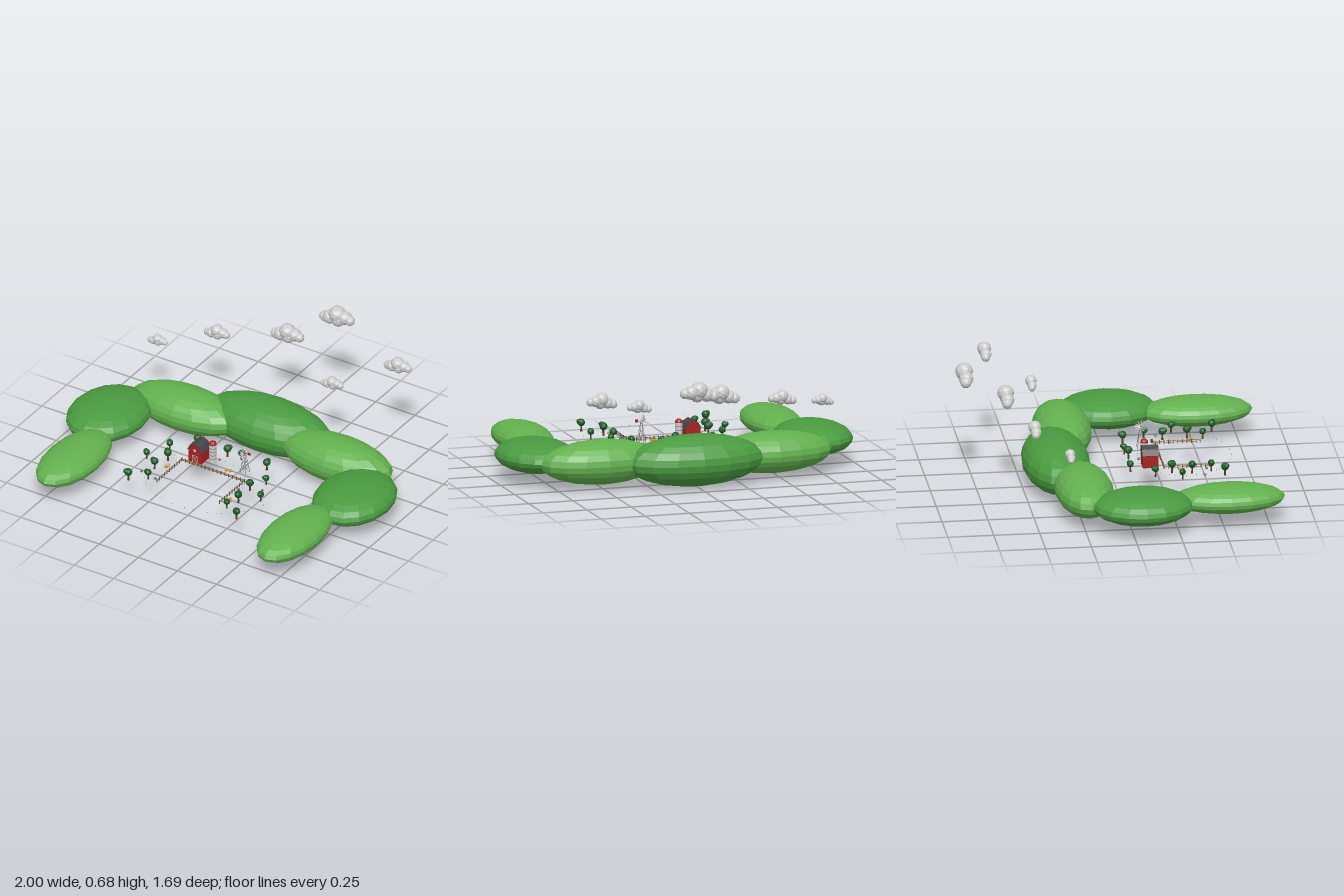
import * as THREE from 'three';

const mat = (color, extra = {}) => new THREE.MeshStandardMaterial({ color, flatShading: true, ...extra });
const M = {
  hillDark: mat(0x4a9a40), hillLight: mat(0x62b04e), cloud: mat(0xcccccc), red: mat(0xa82020), roof: mat(0x45454a),
  white: mat(0xeeeeee), leaf: mat(0x1f5a28), trunk: mat(0x5c3a20), wood: mat(0x7a5a40), hay: mat(0xd0a040),
  metal: mat(0x77777a), grass: mat(0x3f8a35), stone: mat(0x707070),
};
const G = 0.14; // farmyard level

function add(parent, name, geo, material, x = 0, y = 0, z = 0) {
  const m = new THREE.Mesh(geo, material);
  m.name = name;
  m.position.set(x, y, z);
  parent.add(m);
  return m;
}
const box = (w, h, d) => new THREE.BoxGeometry(w, h, d);

// thin round bar between two points
function bar(parent, name, a, b, r, material) {
  const p = new THREE.Vector3(...a), q = new THREE.Vector3(...b);
  const m = add(parent, name, new THREE.CylinderGeometry(r, r, p.distanceTo(q), 5), material);
  m.position.copy(p).lerp(q, 0.5);
  m.quaternion.setFromUnitVectors(new THREE.Vector3(0, 1, 0), q.sub(p).normalize());
  return m;
}

function part(root, name, x = 0, y = 0, z = 0) {
  const g = new THREE.Group();
  g.name = name;
  g.position.set(x, y, z);
  root.add(g);
  return g;
}

function shape(points) {
  return new THREE.Shape(points.map(([x, y]) => new THREE.Vector2(x, y)));
}

// ring of flattened hills: x, y, z, rx, ry, rz, material
function buildHills(root) {
  const hills = part(root, 'hills');
  [[0, 0.141, -0.318, 0.39, 0.141, 0.184, M.hillDark],
    [-0.467, 0.137, -0.222, 0.338, 0.114, 0.158, M.hillLight],
    [0.5, 0.144, -0.222, 0.34, 0.122, 0.158, M.hillLight],
    [-0.785, 0.144, 0.058, 0.215, 0.09, 0.272, M.hillDark],
    [0.785, 0.144, 0.058, 0.215, 0.09, 0.272, M.hillDark],
    [-0.705, 0.143, 0.535, 0.152, 0.077, 0.305, M.hillLight],
    [0.705, 0.143, 0.535, 0.152, 0.077, 0.305, M.hillLight],
  ].forEach(([x, y, z, rx, ry, rz, m]) =>
    add(hills, 'hill', new THREE.SphereGeometry(1, 16, 12), m, x, y, z).scale.set(rx, ry, rz));
}

// faceted clouds: x, y, z, half width
function buildClouds(root) {
  [[-0.72, 0.427, -0.33, 0.063], [-0.44, 0.488, -0.488, 0.081], [-0.06, 0.55, -0.598, 0.104],
    [0.13, 0.615, -0.8, 0.11], [0.345, 0.473, -0.41, 0.071], [0.627, 0.565, -0.628, 0.087],
  ].forEach(([x, y, z, s]) => {
    const cloud = part(root, 'cloud', x, y, z);
    cloud.scale.setScalar(s);
    [[0, 0.14, 0, 0.44], [-0.4, -0.12, 0.05, 0.36], [0.42, 0.04, -0.04, 0.36], [-0.72, -0.2, 0, 0.28],
      [0.74, 0, 0, 0.26], [0.1, -0.12, 0.05, 0.36]].forEach(([px, py, pz, r]) =>
      add(cloud, 'puff', new THREE.IcosahedronGeometry(r, 1), M.cloud, px, py, pz));
  });
}

// gambrel barn, ridge along z
function buildBarn(root) {
  const barn = part(root, 'barn', -0.134, G, 0.176);
  const half = [[0.042, 0.07], [0.027, 0.1], [0, 0.114]];
  const body = new THREE.ExtrudeGeometry(
    shape([[-0.042, 0], [0.042, 0], ...half, [-0.027, 0.1], [-0.042, 0.07]]), { depth: 0.084, bevelEnabled: false });
  add(barn, 'barnBody', body, M.red, 0, 0, -0.042);
  for (const s of [-1, 1]) {
    for (let i = 0; i < 2; i++) {
      const [x0, y0] = half[i], [x1, y1] = half[i + 1];
      const slab = add(barn, 'roofPanel', box(Math.hypot(x1 - x0, y1 - y0) + 0.005, 0.004, 0.09), M.roof,
        s * ((x0 + x1) / 2 + 0.002), (y0 + y1) / 2 + 0.002, 0);
      slab.rotation.z = s * Math.atan2(y1 - y0, x1 - x0);
    }
    add(barn, 'doorPost', box(0.002, 0.042, 0.002), M.white, s * 0.017, 0.021, 0.043);
    const brace = add(barn, 'doorBrace', box(0.002, 0.053, 0.002), M.white, 0, 0.021, 0.043);
    brace.rotation.z = s * 0.68;
  }
  add(barn, 'doorLintel', box(0.036, 0.002, 0.002), M.white, 0, 0.042, 0.043);
  add(barn, 'loftWindow', box(0.014, 0.014, 0.002), M.white, 0, 0.075, 0.043);
}

// banded silo with a dome
function buildSilo(root) {
  const silo = part(root, 'silo', -0.06, G, 0.155);
  add(silo, 'siloBody', new THREE.CylinderGeometry(0.02, 0.02, 0.108, 12), M.cloud, 0, 0.054, 0);
  for (let i = 1; i < 5; i++)
    add(silo, 'siloBand', new THREE.CylinderGeometry(0.0212, 0.0212, 0.003, 12), M.metal, 0, i * 0.022, 0);
  add(silo, 'siloDome', new THREE.SphereGeometry(0.0215, 12, 5, 0, Math.PI * 2, 0, Math.PI / 2), M.red, 0, 0.108, 0);
}

// wind pump: tapered lattice tower, wheel facing -x, tail vane on +x
function buildWindmill(root) {
  const mill = part(root, 'windmill', 0.15, G, 0.162);
  const corners = [[-1, -1], [1, -1], [1, 1], [-1, 1]];
  const at = ([x, z], t) => { const r = 0.02 - 0.017 * t; return [x * r, 0.125 * t, z * r]; };
  corners.forEach((c, i) => {
    const n = corners[(i + 1) % 4];
    bar(mill, 'towerLeg', at(c, 0), at(c, 1), 0.0013, M.metal);
    for (const t of [0.3, 0.6]) {
      bar(mill, 'crossBar', at(c, t), at(n, t), 0.0008, M.metal);
      bar(mill, 'brace', at(c, t - 0.3), at(n, t), 0.0007, M.metal);
    }
  });
  bar(mill, 'tailBoom', [-0.012, 0.128, 0], [0.025, 0.128, 0], 0.0015, M.metal);
  add(mill, 'tailVane', box(0.016, 0.017, 0.002), M.red, 0.027, 0.13, 0);
  const wheel = part(mill, 'wheel', -0.012, 0.128, 0);
  add(wheel, 'hub', new THREE.SphereGeometry(0.004, 8, 6), M.metal);
  for (let i = 0; i < 12; i++) {
    const arm = part(wheel, 'bladeArm');
    arm.rotation.x = (i * Math.PI) / 6;
    add(arm, 'blade', box(0.0015, 0.03, 0.005), M.cloud, 0, 0.019, 0).rotation.y = 0.4;
  }
}

// three-sided paddock fence
function buildFence(root) {
  const fence = part(root, 'fence', 0, G, 0);
  const post = (x, z) => add(fence, 'fencePost', box(0.004, 0.022, 0.004), M.wood, x, 0.011, z);
  for (let i = 0; i <= 16; i++) post(-0.2 + i * 0.025, 0.246);
  for (const y of [0.008, 0.016]) add(fence, 'backRail', box(0.4, 0.003, 0.003), M.wood, 0, y, 0.246);
  for (const x of [-0.2, 0.2]) {
    for (let i = 1; i <= 10; i++) post(x, 0.246 + i * 0.025);
    for (const y of [0.008, 0.016]) add(fence, 'sideRail', box(0.0015, 0.002, 0.25), M.wood, x, y, 0.371);
  }
}

// round-crowned trees
function buildTrees(root) {
  [[-0.22, 0.06], [-0.016, 0.075], [0.064, 0.062], [0.235, 0.075], [-0.315, 0.185], [-0.267, 0.28], [-0.374, 0.325],
    [-0.283, 0.388], [-0.257, 0.495], [-0.342, 0.56], [0.31, 0.2], [0.267, 0.295], [0.374, 0.356], [0.278, 0.43],
    [0.257, 0.513], [0.358, 0.575],
  ].forEach(([x, z], i) => {
    const tree = part(root, 'tree', x, G, z);
    tree.scale.setScalar([1.05, 0.9, 1, 0.85][(i * 3 + 1) % 4]);
    tree.rotation.y = i * 0.35;
    add(tree, 'trunk', new THREE.CylinderGeometry(0.004, 0.006, 0.04, 6), M.trunk, 0, 0.02, 0);
    add(tree, 'crown', new THREE.IcosahedronGeometry(0.021, 1), M.leaf, 0, 0.05, 0);
    add(tree, 'crownSide', new THREE.IcosahedronGeometry(0.015, 1), M.leaf, 0.01, 0.055, -0.006);
  });
}

// hay bales, trough, stones and grass tufts
function buildYard(root) {
  const yard = part(root, 'yard', 0, G, 0);
  [[0.058, 0.203], [0.08, 0.195], [-0.235, 0.328], [-0.237, 0.347], [0.23, 0.436], [0.24, 0.455]].forEach(([x, z], i) => {
    const bale = add(yard, 'hayBale', new THREE.CylinderGeometry(0.008, 0.008, 0.015, 10), M.hay, x, 0.008, z);
    bale.rotation.set(Math.PI / 2, 0, i * 0.6);
  });
  add(yard, 'trough', box(0.032, 0.012, 0.012), M.trunk, 0.235, 0.006, 0.234);
  [[0.326, 0.265], [-0.326, 0.452], [-0.225, 0.475], [0.214, 0.325], [-0.032, 0.13]].forEach(([x, z]) =>
    add(yard, 'stone', new THREE.DodecahedronGeometry(0.008), M.stone, x, 0.005, z));
  for (let i = 0; i < 40; i++) {
    const a = i * 2.4, r = 0.22 + 0.2 * ((i * 0.618) % 1);
    add(yard, 'grassTuft', new THREE.ConeGeometry(0.002, 0.007, 4), M.grass, Math.cos(a) * r, 0.0035, 0.34 + Math.sin(a) * r * 0.8);
  }
}

export function createModel() {
  const root = new THREE.Group();
  root.name = 'farmValley';
  [buildHills, buildClouds, buildBarn, buildSilo, buildWindmill, buildFence, buildTrees, buildYard].forEach((f) => f(root));
  return root;
}
